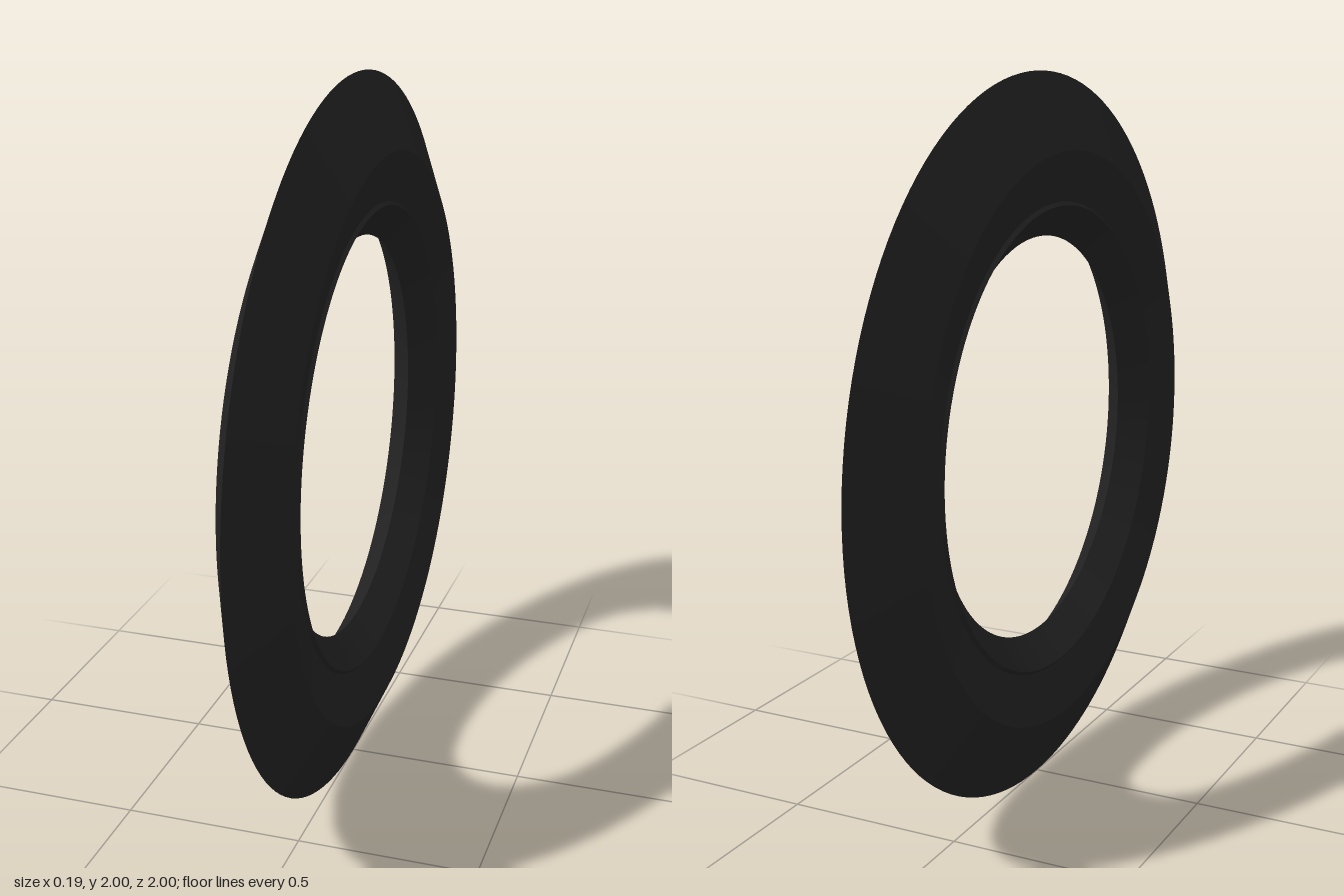
import * as THREE from 'three';

export function createModel() {
  const group = new THREE.Group();
  group.name = 'bevelledRing';
  const black = new THREE.MeshStandardMaterial({ color: 0x222222 });
  black.name = 'black';

  // Half profile from outer edge to inner edge: [radius, distance from the middle plane]
  const profile = [[1, 0], [0.793, 0.094], [0.655, 0.06], [0.645, 0.068], [0.56, 0]];
  const names = ['outerBevel', 'sideFace', 'grooveLip', 'innerBevel'];

  // Each band is lathed on its own, so the edges between bands stay sharp
  for (const side of [1, -1]) {
    names.forEach((name, i) => {
      const points = [profile[i], profile[i + 1]].map(([r, d]) => new THREE.Vector2(r, d * side));
      if (side < 0) points.reverse();
      const band = new THREE.Mesh(new THREE.LatheGeometry(points, 128), black);
      band.name = (side > 0 ? 'left_' : 'right_') + name;
      // Turn the ring's axis to x and stand it on the ground
      band.rotation.z = -Math.PI / 2;
      band.position.y = 1;
      group.add(band);
    });
  }
  return group;
}
